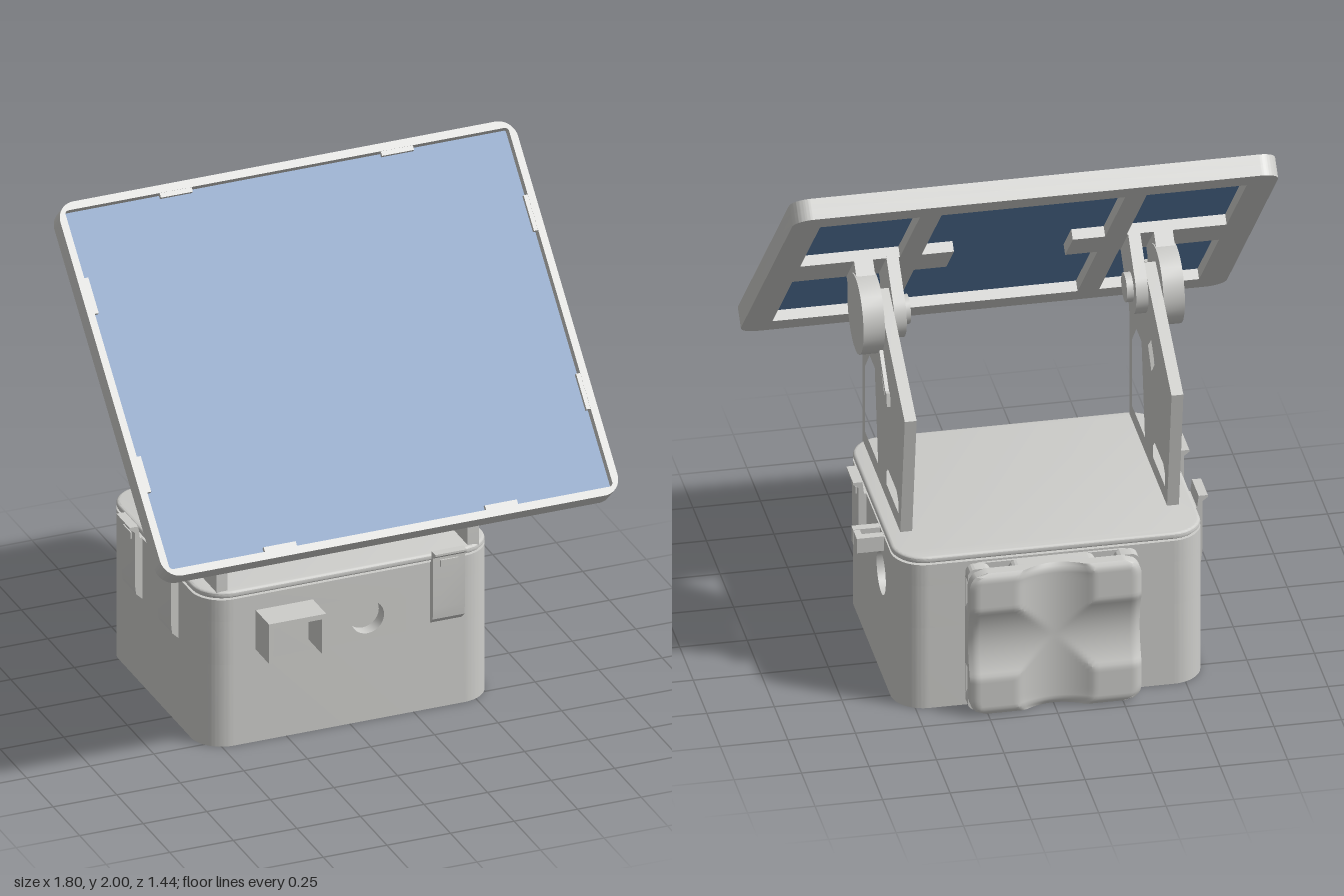
import * as THREE from 'three';
import { toCreasedNormals } from 'three/addons/utils/BufferGeometryUtils.js';

const grey = new THREE.MeshStandardMaterial({ color: 0xcdcdca });
grey.name = 'grey plastic';
const blue = new THREE.MeshStandardMaterial({ color: 0x5c80ab });
blue.name = 'solar blue';

function add(parent, name, geo, mat = grey, x = 0, y = 0, z = 0) {
  const mesh = new THREE.Mesh(geo, mat);
  mesh.name = name;
  mesh.position.set(x, y, z);
  parent.add(mesh);
  return mesh;
}

// box given by its limits on each axis
function block(parent, name, [x0, x1], [y0, y1], [z0, z1], mat = grey) {
  return add(parent, name, new THREE.BoxGeometry(x1 - x0, y1 - y0, z1 - z0), mat,
    (x0 + x1) / 2, (y0 + y1) / 2, (z0 + z1) / 2);
}

const poly = (pts) => new THREE.Shape(pts.map(([x, y]) => new THREE.Vector2(x, y)));

function roundRect(x0, x1, y0, y1, r) {
  const s = new THREE.Shape();
  const q = Math.PI / 2;
  s.absarc(x1 - r, y0 + r, r, -q, 0);
  s.absarc(x1 - r, y1 - r, r, 0, q);
  s.absarc(x0 + r, y1 - r, r, q, 2 * q);
  s.absarc(x0 + r, y0 + r, r, 2 * q, 3 * q);
  s.closePath();
  return s;
}

function extrude(shape, depth, bevel = 0) {
  const geo = new THREE.ExtrudeGeometry(shape, {
    depth, curveSegments: 14, bevelEnabled: bevel > 0,
    bevelSize: bevel, bevelThickness: bevel, bevelOffset: -bevel, bevelSegments: 3,
  });
  return toCreasedNormals(geo, 0.6);
}

// shape drawn in (-z, y), extruded towards +x
const sideways = (shape, depth, bevel) => extrude(shape, depth, bevel).rotateY(Math.PI / 2);
// shape drawn in (x, -z), extruded upwards
const upwards = (shape, depth, bevel) => extrude(shape, depth, bevel).rotateX(-Math.PI / 2);

const X0 = -0.575, X1 = 0.57, Z0 = -0.62, Z1 = 0.3;
const HX = 0.07, HZ = -0.33, HY = 0.42, H = 0.088, DEEP = 0.05;

function holePlate(radius) {
  const s = roundRect(-H, H, -H, H, 0.001);
  s.holes.push(new THREE.Path().absarc(0, 0, radius, 0, Math.PI * 2, true));
  return extrude(s, DEEP);
}

function makeCase() {
  const g = new THREE.Group();
  g.name = 'case';
  const outline = roundRect(X0, X1, -Z1, -Z0, 0.12);
  // middle layer leaves pockets behind the round openings
  const r = 0.12, q = Math.PI / 2;
  const mid = new THREE.Shape();
  mid.moveTo(HX - H, -Z1);
  mid.lineTo(HX - H, -Z1 + DEEP);
  mid.lineTo(HX + H, -Z1 + DEEP);
  mid.lineTo(HX + H, -Z1);
  mid.absarc(X1 - r, -Z1 + r, r, -q, 0);
  mid.lineTo(X1, -HZ - H);
  mid.lineTo(X1 - DEEP, -HZ - H);
  mid.lineTo(X1 - DEEP, -HZ + H);
  mid.lineTo(X1, -HZ + H);
  mid.absarc(X1 - r, -Z0 - r, r, 0, q);
  mid.absarc(X0 + r, -Z0 - r, r, q, 2 * q);
  mid.absarc(X0 + r, -Z1 + r, r, 2 * q, 3 * q);
  add(g, 'lower body', upwards(outline, HY - H), grey);
  add(g, 'middle body', upwards(mid, 2 * H), grey, 0, HY - H, 0);
  add(g, 'upper body', upwards(outline, 0.596 - HY - H), grey, 0, HY + H, 0);
  add(g, 'front opening', holePlate(0.065), grey, HX, HY, Z1 - DEEP);
  add(g, 'side opening', holePlate(0.085).rotateY(q), grey, X1 - DEEP, HY, HZ);
  const lid = upwards(roundRect(X0, X1, -Z1, -Z0, 0.12), 0.002, 0.012);
  add(g, 'lid', lid, grey, 0, 0.612, 0);

  // hood on the front
  block(g, 'hood top', [-0.37, -0.145], [0.515, 0.535], [Z1, 0.425]);
  for (const x of [-0.37, -0.162])
    block(g, 'hood side', [x, x + 0.017], [0.375, 0.516], [Z1, 0.425]);

  // loop on the left side
  for (const z of [-0.378, -0.31])
    block(g, 'loop lug', [X1, 0.67], [0.535, 0.595], [z, z + 0.032]);
  block(g, 'loop bar', [0.645, 0.669], [0.537, 0.593], [-0.36, -0.3]);
  return g;
}

// latch built facing +x, then turned about y
function makeLatch(x, z, turn) {
  const g = new THREE.Group();
  g.name = 'latch';
  const s = poly([[0, 0.35], [0.025, 0.374], [0.03, 0.42], [0.03, 0.625], [0.05, 0.64],
    [0.05, 0.648], [0.016, 0.648], [0.01, 0.6], [0, 0.6]]);
  const geo = extrude(s, 0.125).translate(0, 0, -0.0625);
  add(g, 'latch plate', geo);
  block(g, 'latch catch', [0.028, 0.036], [0.588, 0.615], [-0.035, 0.035]);
  g.position.set(x, 0, z);
  g.rotation.y = turn;
  return g;
}

// back mount: slotted strap layer behind a pad with two crossing troughs
function makeBackMount() {
  const g = new THREE.Group();
  g.name = 'back mount';
  const xs = [[-0.318, -0.228], [-0.16, 0.16], [0.228, 0.318]];
  const ys = [[0.004, 0.08], [0.155, 0.44], [0.515, 0.588]];
  for (const [a, b] of xs) for (const [c, d] of ys)
    add(g, 'mount spacer', extrude(roundRect(a, b, c, d, 0.03), 0.045), grey, 0, 0, -0.672);
  add(g, 'mount base', extrude(roundRect(-0.318, 0.318, 0.004, 0.588, 0.06), 0.012), grey, 0, 0, -0.63);
  const W = 0.318, T = 0.292, R = 0.06;
  const trough = (t) => (Math.abs(t) < 0.14 ? 0.036 * (1 - (t / 0.14) ** 2) : 0);
  const geo = new THREE.BoxGeometry(2 * W, 2 * T, 0.055, 48, 48, 1);
  const p = geo.attributes.position;
  for (let i = 0; i < p.count; i++) {
    const x = p.getX(i), y = p.getY(i);
    const over = Math.max(0, Math.abs(y) - (T - R));
    const half = W - R + Math.sqrt(Math.max(0, R * R - over * over));
    if (p.getZ(i) < 0) {
      const edge = Math.max(0, Math.max(Math.abs(x) / W, Math.abs(y) / T) - 0.93) * 0.2;
      p.setZ(i, p.getZ(i) + Math.max(trough(x), trough(y)) + edge);
    }
    p.setX(i, x * half / W);
  }
  add(g, 'mount pad', toCreasedNormals(geo, 0.5), grey, 0, 0.296, -0.6965);
  return g;
}

// tilt arm with its hinge; side is +1 or -1
function makeArm(side) {
  const g = new THREE.Group();
  g.name = 'tilt arm';
  const at = (name, shape, inner, outer, y = 0, z = 0) =>
    add(g, name, sideways(shape, outer - inner), grey, side > 0 ? inner : -outer, y, z);
  const flip = (pts) => poly(pts.map(([z, y]) => [-z, y]));
  const arm = flip([[0.28, 0.61], [0.285, 1.13], [0.19, 1.3], [0.02, 1.4], [-0.13, 1.325],
    [-0.495, 1.13], [-0.41, 0.61]]);
  arm.holes.push(
    flip([[0.235, 0.685], [0.235, 0.96], [0.153, 1.05], [0.058, 1.05], [-0.005, 0.685]]),
    flip([[-0.155, 0.685], [-0.155, 0.735], [-0.185, 0.762], [-0.345, 0.762], [-0.375, 0.735], [-0.375, 0.685]]),
    flip([[-0.06, 1.1], [-0.12, 1.155], [-0.185, 1.09], [-0.125, 1.025]]));
  at('arm plate', arm, 0.472, 0.516);
  const HINGE = [1.305, 0.02];
  const disc = (r) => new THREE.Shape().absarc(0, 0, r, 0, Math.PI * 2);
  at('hinge disc', disc(0.15), 0.516, 0.595, ...HINGE);
  at('hinge knob', disc(0.055), 0.4, 0.425, ...HINGE);
  // ear that carries the panel
  const ear = new THREE.Shape();
  ear.absarc(0, 0, 0.1, Math.PI * 0.25, Math.PI * 1.75 - Math.PI);
  const full = new THREE.Shape();
  full.absarc(0, 0, 0.1, Math.PI * 1.25, Math.PI * 2.25);
  full.lineTo(0.07 - 0.125, 0.07 + 0.125);
  full.lineTo(-0.07 - 0.125, -0.07 + 0.125);
  at('hinge ear', full, 0.425, 0.47, ...HINGE);
  // neck from the outer disc to the panel
  at('disc neck', poly([[0.07, 0.07], [-0.055, 0.195], [-0.195, 0.055], [-0.07, -0.07]]), 0.52, 0.59, ...HINGE);
  // pointer and stop
  at('pointer', flip([[-0.07, 1.2], [-0.19, 1.09], [-0.185, 1.065], [-0.235, 1.05], [-0.225, 1.1],
    [-0.205, 1.1], [-0.09, 1.215]]), 0.515, 0.53);
  at('stop rail', flip([[0.2, 1.08], [0.2, 1.31], [0.178, 1.31], [0.178, 1.08]]), 0.51, 0.53);
  at('stop foot', flip([[0.235, 1.045], [0.235, 1.082], [0.178, 1.082], [0.178, 1.045]]), 0.51, 0.535);
  return g;
}

function makePanel() {
  const g = new THREE.Group();
  g.name = 'solar panel';
  const W = 0.9, L = 0.733;
  const hole = (pts) => poly(pts);
  const rect = (a, b, c, d) => hole([[a, c], [b, c], [b, d], [a, d]]);
  // back grid with windows
  const back = roundRect(-W, W, -L, L, 0.07);
  for (const s of [-1, 1]) for (const t of [-1, 1])
    back.holes.push(rect(s * 0.79, s * 0.42, t * 0.1, t * 0.62));
  const c = [[0.34, -0.62], [0.34, -0.1], [0.22, -0.1], [0.22, 0.1], [0.34, 0.1], [0.34, 0.62]];
  back.holes.push(hole([...c, ...c.map(([x, y]) => [-x, y]).reverse()]));
  add(g, 'panel back', extrude(back, 0.04), grey, 0, 0, -0.04);
  // raised rim
  const rim = roundRect(-W, W, -L, L, 0.07);
  rim.holes.push(roundRect(-0.872, 0.872, -0.703, 0.703, 0.015));
  add(g, 'panel rim', extrude(rim, 0.04));
  block(g, 'solar cell', [-0.87, 0.87], [-0.701, 0.701], [0.0005, 0.012], blue);
  // retaining tabs
  for (const s of [-1, 1]) {
    for (const x of [-0.435, 0.435])
      block(g, 'tab', [x - 0.063, x + 0.063], [s * 0.697 - 0.012, s * 0.697 + 0.012], [0.024, 0.039]);
    for (const y of [-0.33, 0.37])
      block(g, 'tab', [s * 0.866 - 0.01, s * 0.866 + 0.01], [y - 0.07, y + 0.07], [0.024, 0.039]);
  }
  g.position.set(0, 1.4525, 0.17);
  g.rotation.x = -Math.PI / 4;
  return g;
}

export function createModel() {
  const model = new THREE.Group();
  model.name = 'solar powered box';
  model.add(makeCase(), makeBackMount(), makePanel(), makeArm(1), makeArm(-1));
  model.add(makeLatch(X1, 0, 0), makeLatch(X0, 0, Math.PI), makeLatch(X0, -0.34, Math.PI),
    makeLatch(0.378, Z1, -Math.PI / 2));
  return model;
}
